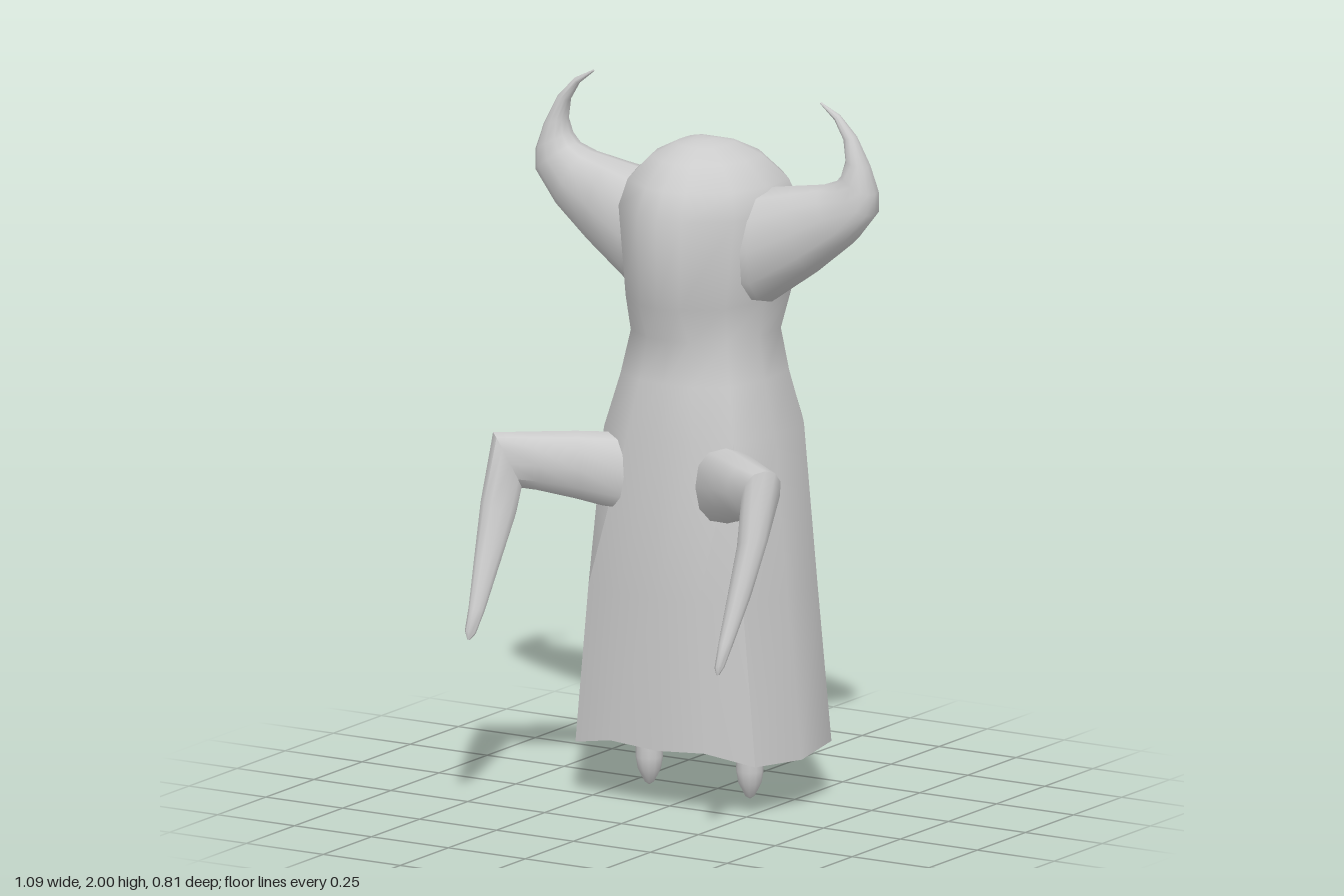
import * as THREE from 'three';
import { toCreasedNormals } from 'three/addons/utils/BufferGeometryUtils.js';

const material = new THREE.MeshStandardMaterial({ color: 0xcccccc });
const V = (x, y, z) => new THREE.Vector3(x, y, z);

// Closed skin over equal-sized rings, each running counter-clockwise about the path
function loft(rings) {
  const n = rings[0].length, pos = [], index = [];
  rings.forEach(r => r.forEach(p => pos.push(p.x, p.y, p.z)));
  for (let i = 0; i < rings.length - 1; i++) {
    for (let j = 0; j < n; j++) {
      const a = i * n + j, b = i * n + (j + 1) % n;
      index.push(a, b, b + n, a, b + n, a + n);
    }
  }
  [0, rings.length - 1].forEach(i => {
    const c = rings[i].reduce((s, p) => s.add(p), V(0, 0, 0)).divideScalar(n);
    const k = pos.length / 3;
    pos.push(c.x, c.y, c.z);
    for (let j = 0; j < n; j++) {
      const a = i * n + j, b = i * n + (j + 1) % n;
      if (i === 0) index.push(k, b, a); else index.push(k, a, b);
    }
  });
  const g = new THREE.BufferGeometry();
  g.setAttribute('position', new THREE.Float32BufferAttribute(pos, 3));
  g.setIndex(index);
  return toCreasedNormals(g, 0.95);
}

// Slightly squared ellipse around c with half axes u and v
function ring(c, u, v, n = 12) {
  const soft = t => Math.sign(t) * Math.pow(Math.abs(t), 0.85);
  return Array.from({ length: n }, (_, i) => {
    const a = i / n * Math.PI * 2;
    return c.clone().addScaledVector(u, soft(Math.cos(a))).addScaledVector(v, soft(Math.sin(a)));
  });
}

const mirror = rings => rings.map(r => r.map(p => V(-p.x, p.y, p.z)).reverse());

// Half outlines from front centre to back centre: [x share, depth share]
const robeOutline = [[0, 0], [0.45, 0.01], [0.86, 0.1], [1, 0.45], [0.95, 0.83], [0.74, 1], [0, 1]];
const headOutline = [[0, 0], [0.3, 0.03], [0.8, 0.22], [1, 0.5], [0.96, 0.82], [0.64, 1], [0, 1]];
const hem = [0.17, 0.18, 0.15, 0.145, 0.16, 0.18, 0.18];

function bodyRings() {
  // height, half width, front z, back z, blend from robe to head outline
  const rows = [
    [0, 0.34, 0.07, -0.405, 0],
    [0.6, 0.292, 0.068, -0.405, 0],
    [1.05, 0.247, 0.055, -0.4, 0.1],
    [1.2, 0.21, 0.03, -0.37, 0.35],
    [1.32, 0.19, 0.015, -0.352, 0.6],
    [1.42, 0.202, 0.067, -0.405, 0.9],
    [1.67, 0.235, 0.07, -0.405, 1],
    [1.745, 0.212, 0.035, -0.365, 1],
    [1.81, 0.145, -0.03, -0.31, 0.8],
    [1.846, 0.075, -0.1, -0.25, 0.6],
    [1.856, 0.03, -0.15, -0.205, 0.5],
  ];
  return rows.map(([y, w, front, back, k], row) => {
    const half = robeOutline.map(([x, t], i) => {
      const hx = THREE.MathUtils.lerp(x, headOutline[i][0], k);
      const ht = THREE.MathUtils.lerp(t, headOutline[i][1], k);
      return V(hx * w, row ? y : hem[i], THREE.MathUtils.lerp(front, back, ht));
    });
    const other = half.slice(1, -1).reverse().map(p => V(-p.x, p.y, p.z));
    return [...half, ...other];
  });
}

function hornRings() {
  // outer x, y, inner x, y, half depth
  const rows = [
    [0.1, 1.41, 0.12, 1.72, 0.14],
    [0.21, 1.415, 0.21, 1.74, 0.132],
    [0.36, 1.52, 0.3, 1.755, 0.1],
    [0.47, 1.61, 0.38, 1.768, 0.08],
    [0.545, 1.7, 0.425, 1.785, 0.06],
    [0.546, 1.76, 0.447, 1.81, 0.05],
    [0.522, 1.835, 0.458, 1.85, 0.035],
    [0.482, 1.915, 0.448, 1.905, 0.021],
    [0.43, 1.97, 0.417, 1.955, 0.011],
    [0.37, 2.0, 0.368, 1.995, 0.003],
  ];
  return rows.map(([ox, oy, ix, iy, d]) => ring(
    V((ox + ix) / 2, (oy + iy) / 2, -0.195), V(0, 0, -d),
    V((ix - ox) / 2, (iy - oy) / 2, 0)));
}

function armRings() {
  // centre, half width across, half thickness vector
  const rows = [
    [[0.14, 0.92, -0.03], 0.08, [0, 0.115, 0]],
    [[0.26, 0.948, 0.07], 0.075, [0, 0.096, 0]],
    [[0.35, 0.963, 0.145], 0.067, [0.005, 0.083, 0.005]],
    [[0.412, 0.965, 0.185], 0.056, [0.03, 0.08, 0.026]],
    [[0.413, 0.84, 0.23], 0.042, [0.036, 0.02, 0.034]],
    [[0.41, 0.7, 0.295], 0.033, [0.026, 0.012, 0.024]],
    [[0.405, 0.58, 0.355], 0.022, [0.016, 0.008, 0.016]],
    [[0.405, 0.52, 0.388], 0.014, [0.011, 0.005, 0.011]],
    [[0.405, 0.5, 0.397], 0.004, [0.003, 0.001, 0.003]],
  ];
  return rows.map(([c, w, v]) => ring(V(...c), V(0.66 * w, 0, -0.75 * w), V(...v)));
}

export function createModel() {
  const group = new THREE.Group();
  const add = (name, geometry) => {
    const mesh = new THREE.Mesh(geometry, material);
    mesh.name = name;
    group.add(mesh);
    return mesh;
  };

  // Robe, neck and domed head in one skin
  add('body', loft(bodyRings()));

  // Horns and hooked arms on both sides
  const horn = hornRings(), arm = armRings();
  add('leftHorn', loft(horn));
  add('rightHorn', loft(mirror(horn)));
  add('leftArm', loft(arm));
  add('rightArm', loft(mirror(arm)));

  // Small pointed feet
  const profile = [[0, 0], [0.013, 0.008], [0.032, 0.045], [0.038, 0.08], [0.037, 0.14], [0.03, 0.22], [0, 0.24]]
    .map(([r, y]) => new THREE.Vector2(r, y));
  [['leftFoot', 0.14], ['rightFoot', -0.187]].forEach(([name, x]) => {
    add(name, new THREE.LatheGeometry(profile, 12)).position.set(x, 0, -0.193);
  });
  return group;
}
